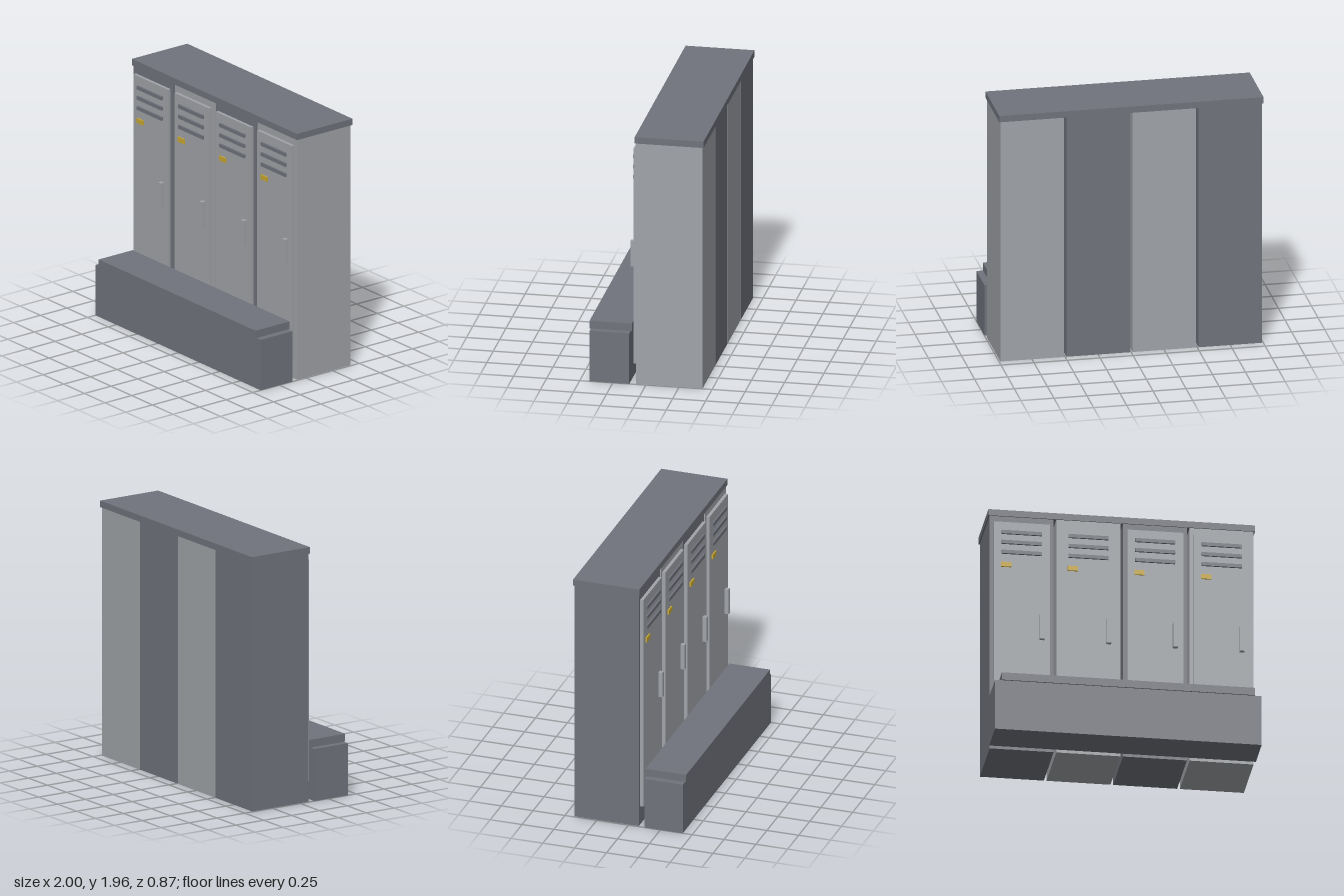
import * as THREE from 'three';

const lightSteel = new THREE.MeshStandardMaterial({ name: 'lightSteel', color: 0xa0a3a8 });
const darkSteel = new THREE.MeshStandardMaterial({ name: 'darkSteel', color: 0x70737c });
const brass = new THREE.MeshStandardMaterial({ name: 'brass', color: 0xc8a832 });

// Box given by its minimum and maximum along each axis
function box(name, material, [x0, x1], [y0, y1], [z0, z1]) {
  const mesh = new THREE.Mesh(new THREE.BoxGeometry(x1 - x0, y1 - y0, z1 - z0), material);
  mesh.position.set((x0 + x1) / 2, (y0 + y1) / 2, (z0 + z1) / 2);
  mesh.name = name;
  return mesh;
}

// One locker centred on its own x = 0
function createLocker(bodyMaterial) {
  const locker = new THREE.Group();
  locker.name = 'locker';
  locker.add(
    box('lockerBody', bodyMaterial, [-0.24, 0.24], [0, 1.905], [-0.427, 0.077]),
    box('door', lightSteel, [-0.21, 0.21], [0.15, 1.85], [0.077, 0.102]),
    box('handle', lightSteel, [0.13, 0.166], [0.9, 1.1], [0.1, 0.134]),
    box('namePlate', brass, [-0.158, -0.082], [1.481, 1.519], [0.1, 0.113]),
  );
  // Ventilation slats
  for (let i = 0; i < 3; i++) {
    const y = 1.602 + i * 0.081;
    locker.add(box('ventSlat', darkSteel, [-0.153, 0.147], [y - 0.014, y + 0.014], [0.1, 0.116]));
  }
  return locker;
}

export function createModel() {
  const model = new THREE.Group();
  model.name = 'lockersWithBench';

  // Row of lockers with alternating body colours
  for (let i = 0; i < 4; i++) {
    const locker = createLocker(i % 2 ? lightSteel : darkSteel);
    locker.position.x = -0.75 + i * 0.5;
    model.add(locker);
  }

  // Shared top and the bench in front
  model.add(
    box('topPanel', darkSteel, [-1, 1], [1.905, 1.955], [-0.436, 0.085]),
    box('benchBase', darkSteel, [-1, 1], [0, 0.4], [0.126, 0.426]),
    box('benchSeat', darkSteel, [-0.95, 0.95], [0.4, 0.46], [0.116, 0.436]),
  );
  return model;
}
